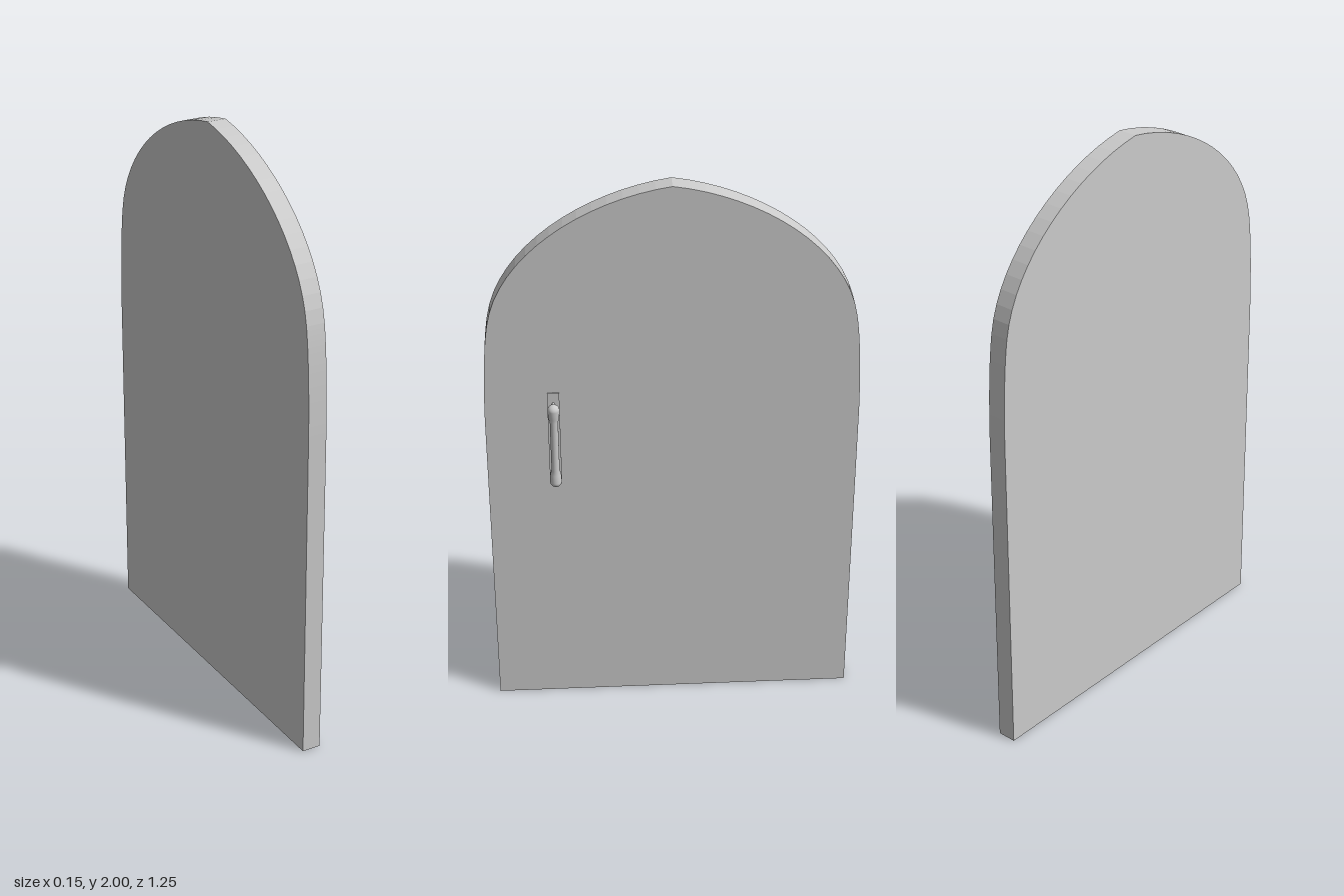
import * as THREE from 'three';

export function createModel() {
  const group = new THREE.Group();
  const material = new THREE.MeshStandardMaterial({ color: 0xcccccc });
  const add = (name, geometry, x = 0, y = 0, z = 0) => {
    const mesh = new THREE.Mesh(geometry, material);
    mesh.name = name;
    mesh.position.set(x, y, z);
    group.add(mesh);
    return mesh;
  };

  // Arched slab, with a slight point at the crown, drawn in (z, y)
  const outline = new THREE.Shape();
  outline.moveTo(-0.623, 0);
  outline.lineTo(0.623, 0);
  outline.lineTo(0.623, 1.16);
  outline.quadraticCurveTo(0.62, 1.4, 0.6, 1.52);
  outline.bezierCurveTo(0.56, 1.77, 0.28, 1.96, 0, 2);
  outline.bezierCurveTo(-0.28, 1.96, -0.56, 1.77, -0.6, 1.52);
  outline.quadraticCurveTo(-0.62, 1.4, -0.623, 1.16);
  outline.closePath();
  const slab = new THREE.ExtrudeGeometry(outline, { depth: 0.065, bevelEnabled: false, curveSegments: 16 });
  slab.rotateY(Math.PI / 2);
  add('doorPanel', slab, -0.073);

  // Pull handle on the +x face
  const handleZ = 0.395, barX = 0.053, midY = 1.09;
  add('handlePlate', new THREE.BoxGeometry(0.006, 0.34, 0.04), -0.006, midY, handleZ);

  // Turned grip: slim bar swelling into rounded ends
  const half = [[0.0135, 0], [0.0135, 0.095], [0.018, 0.11], [0.02, 0.14]];
  for (let i = 1; i <= 6; i++) {
    const a = (i / 6) * Math.PI / 2;
    half.push([0.02 * Math.cos(a), 0.14 + 0.02 * Math.sin(a)]);
  }
  const mirrored = half.slice(1).reverse().map(([r, y]) => [r, -y]);
  const profile = [...mirrored, ...half].map(([r, y]) => new THREE.Vector2(Math.max(r, 0), y));
  add('handleGrip', new THREE.LatheGeometry(profile, 24), barX, midY, handleZ);

  // Oval posts joining grip and plate
  for (const side of [-1, 1]) {
    const post = new THREE.CylinderGeometry(0.017, 0.017, 0.061, 20);
    post.rotateZ(Math.PI / 2);
    post.scale(1, 1, 0.4);
    add(side > 0 ? 'upperPost' : 'lowerPost', post, 0.0225, midY + side * 0.118, handleZ);
  }
  return group;
}
